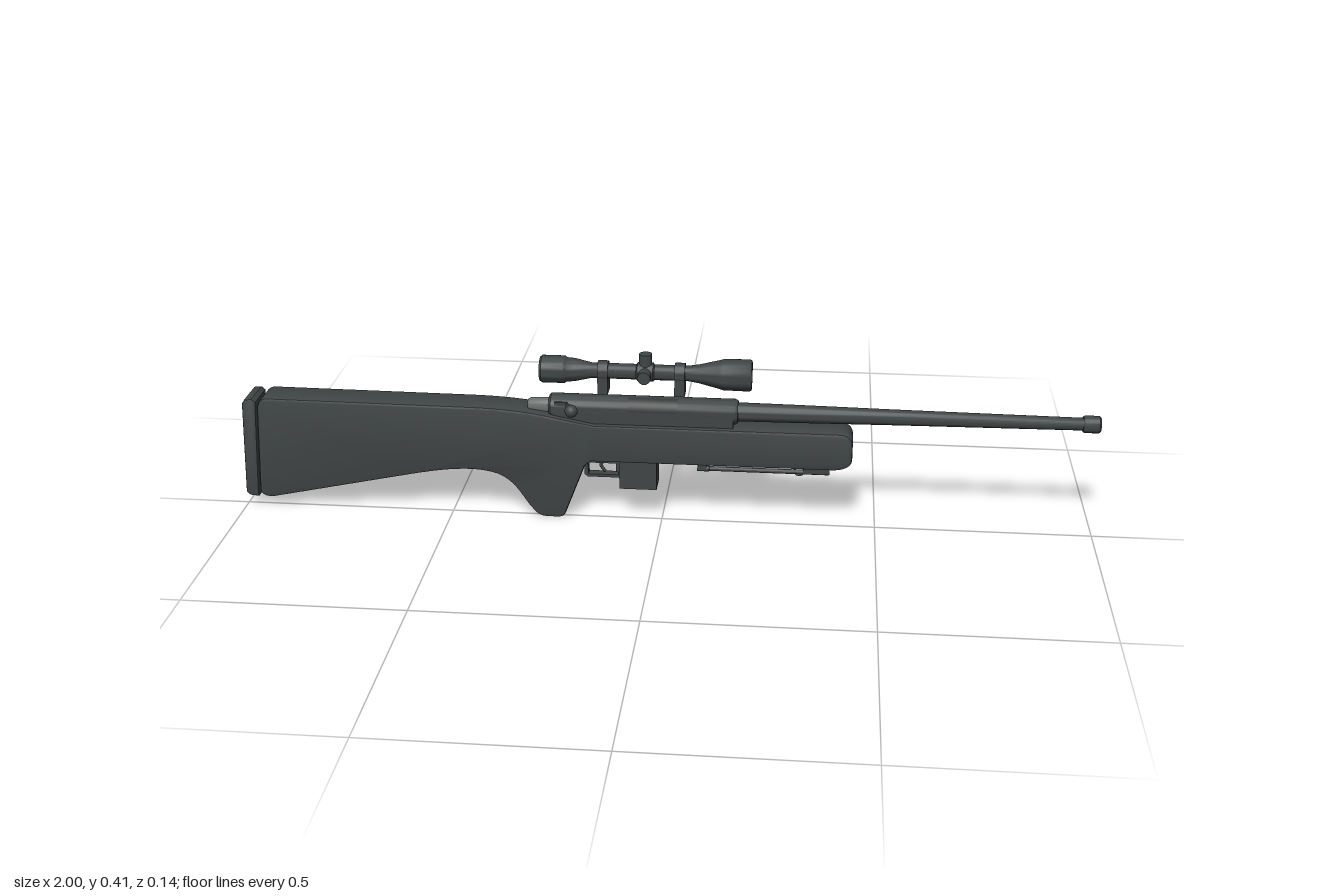
import * as THREE from 'three';
import { toCreasedNormals } from 'three/addons/utils/BufferGeometryUtils.js';

const ZC = -0.025; // centre plane of the stock and barrel

export function createModel() {
  const group = new THREE.Group();
  const material = (name, color) => {
    const m = new THREE.MeshStandardMaterial({ color });
    m.name = name;
    return m;
  };
  const body = material('darkGrey', 0x404545);
  const bare = material('bareSteel', 0x6c706f);
  const port = material('portShade', 0x343838);
  port.side = THREE.DoubleSide;

  const add = (name, geometry, x = 0, y = 0, z = ZC, mat = body) => {
    const mesh = new THREE.Mesh(geometry, mat);
    mesh.name = name;
    mesh.position.set(x, y, z);
    group.add(mesh);
    return mesh;
  };
  const box = (name, w, h, d, x, y, z = ZC) => add(name, new THREE.BoxGeometry(w, h, d), x, y, z);
  // Turned part along x from [x, radius] pairs
  const turned = (name, pairs, y, z = ZC, mat = body) => {
    const g = new THREE.LatheGeometry(pairs.map(([x, r]) => new THREE.Vector2(r, x)), 28);
    return add(name, toCreasedNormals(g.rotateZ(-Math.PI / 2), 0.6), 0, y, z, mat);
  };
  // Bevelled slab of a side outline, centred on ZC
  const slab = (name, shape, width, bevel) => {
    const g = new THREE.ExtrudeGeometry(shape, {
      depth: width - 2 * bevel, bevelEnabled: true, bevelThickness: bevel,
      bevelSize: bevel, bevelOffset: -bevel, bevelSegments: 2, curveSegments: 10,
    });
    return add(name, toCreasedNormals(g.translate(0, 0, -width / 2 + bevel), 0.5));
  };
  const rod = (name, points, r) => add(name, new THREE.TubeGeometry(
    new THREE.CatmullRomCurve3(points.map((p) => new THREE.Vector3(...p)), false, 'catmullrom', 0.1),
    24, r, 8), 0, 0, 0);

  // Stock, grip and fore-end in one outline
  const s = new THREE.Shape();
  s.moveTo(-0.965, 0.04);
  s.quadraticCurveTo(-0.963, 0.022, -0.935, 0.023);
  s.lineTo(-0.6, 0.095);
  s.bezierCurveTo(-0.52, 0.112, -0.44, 0.125, -0.385, 0.105);
  s.bezierCurveTo(-0.34, 0.085, -0.33, 0.045, -0.305, 0.018);
  s.quadraticCurveTo(-0.292, 0.0, -0.27, 0.0);
  s.lineTo(-0.245, 0.0);
  s.quadraticCurveTo(-0.23, 0.0, -0.225, 0.018);
  s.lineTo(-0.18, 0.135);
  s.lineTo(-0.165, 0.147);
  s.lineTo(0.4, 0.147);
  s.quadraticCurveTo(0.44, 0.15, 0.441, 0.175);
  s.lineTo(0.441, 0.215);
  s.quadraticCurveTo(0.437, 0.238, 0.41, 0.239);
  s.lineTo(-0.16, 0.239);
  s.lineTo(-0.26, 0.258);
  s.quadraticCurveTo(-0.34, 0.274, -0.45, 0.275);
  s.lineTo(-0.93, 0.278);
  s.quadraticCurveTo(-0.952, 0.276, -0.955, 0.25);
  s.closePath();
  slab('stock', s, 0.083, 0.006);

  // Butt pad
  const p = new THREE.Shape();
  p.moveTo(-0.999, 0.035);
  p.lineTo(-0.99, 0.026);
  p.lineTo(-0.969, 0.024);
  p.lineTo(-0.956, 0.268);
  p.lineTo(-0.965, 0.276);
  p.lineTo(-0.982, 0.274);
  p.lineTo(-0.99, 0.262);
  p.closePath();
  slab('buttPad', p, 0.087, 0.005);

  // Receiver, bolt and barrel
  turned('receiver', [[-0.265, 0], [-0.265, 0.026], [-0.26, 0.03], [0.168, 0.03], [0.175, 0.026], [0.175, 0]], 0.27);
  box('receiverBed', 0.42, 0.03, 0.058, -0.045, 0.25);
  turned('boltShroud', [[-0.316, 0], [-0.316, 0.013], [-0.31, 0.017], [-0.26, 0.019], [-0.26, 0]], 0.27, ZC, bare);
  turned('barrel', [[0.17, 0], [0.17, 0.022], [0.3, 0.021], [0.55, 0.018], [0.965, 0.0145], [0.965, 0]], 0.27);
  turned('muzzle', [[0.96, 0], [0.96, 0.018], [0.964, 0.02], [0.996, 0.02], [1.0, 0.017], [1.0, 0.008], [0.985, 0.008], [0.985, 0]], 0.27);

  // Ejection port wrapped on the upper front quarter of the receiver
  const portGeo = new THREE.CylinderGeometry(0.0306, 0.0306, 0.115, 10, 1, true, -1.35, 1.3);
  add('ejectionPort', portGeo.rotateZ(-Math.PI / 2), -0.022, 0.27, ZC, port);

  // Bolt handle
  rod('boltHandle', [[-0.225, 0.276, -0.01], [-0.21, 0.285, 0.02], [-0.203, 0.293, 0.055]], 0.006);
  add('boltKnob', new THREE.SphereGeometry(0.015, 18, 12), -0.203, 0.291, 0.058);
  box('boltCatch', 0.03, 0.008, 0.008, -0.235, 0.285, 0.0);

  // Scope body
  turned('scope', [[-0.285, 0], [-0.285, 0.028], [-0.28, 0.032], [-0.228, 0.032], [-0.222, 0.028],
    [-0.205, 0.027], [-0.165, 0.018], [0.06, 0.018], [0.085, 0.022], [0.13, 0.033],
    [0.14, 0.036], [0.2, 0.037], [0.205, 0.034], [0.205, 0.029], [0.198, 0.028], [0.198, 0]], 0.361);
  for (const x of [-0.138, 0.04]) {
    turned('scopeRing', [[x - 0.012, 0.017], [x - 0.012, 0.024], [x + 0.012, 0.024], [x + 0.012, 0.017]], 0.361);
    box('scopeMount', 0.024, 0.04, 0.042, x, 0.33);
  }
  // Adjustment turrets on top and on the side
  turned('turretBase', [[-0.062, 0.017], [-0.058, 0.022], [-0.022, 0.022], [-0.018, 0.017]], 0.361);
  const knob = () => toCreasedNormals(new THREE.CylinderGeometry(0.015, 0.015, 0.035, 18), 0.6);
  add('topTurret', knob(), -0.04, 0.388);
  add('sideTurret', knob().rotateX(Math.PI / 2), -0.04, 0.361, 0.002);

  // Magazine, trigger and guard
  box('magazine', 0.088, 0.075, 0.063, -0.056, 0.1145);
  box('magazineCatch', 0.012, 0.03, 0.02, -0.104, 0.125);
  const g = new THREE.Shape();
  g.moveTo(-0.185, 0.15);
  g.lineTo(-0.185, 0.103);
  g.lineTo(-0.178, 0.096);
  g.lineTo(-0.098, 0.096);
  g.lineTo(-0.098, 0.15);
  g.closePath();
  const gap = new THREE.Path();
  gap.moveTo(-0.177, 0.132);
  gap.lineTo(-0.104, 0.132);
  gap.lineTo(-0.104, 0.103);
  gap.lineTo(-0.175, 0.103);
  gap.closePath();
  g.holes.push(gap);
  add('triggerGuard', new THREE.ExtrudeGeometry(g, { depth: 0.022, bevelEnabled: false }), 0, 0, ZC - 0.011);
  rod('trigger', [[-0.14, 0.14, ZC], [-0.147, 0.122, ZC], [-0.137, 0.107, ZC]], 0.004);

  // Folded support legs under the fore-end
  box('legPlate', 0.06, 0.018, 0.06, 0.36, 0.141);
  box('legRest', 0.02, 0.014, 0.06, 0.095, 0.142);
  for (const side of [-1, 1]) {
    const z = ZC + side * 0.023;
    turned('foldedLeg', [[0.083, 0], [0.083, 0.007], [0.11, 0.007], [0.112, 0.0055], [0.388, 0.0055], [0.388, 0]], 0.134, z);
  }

  // Sling loops
  add('frontSlingLoop', new THREE.TorusGeometry(0.011, 0.003, 8, 18), 0.32, 0.127);
  add('rearSlingLoop', new THREE.TorusGeometry(0.012, 0.003, 8, 18).scale(1.2, 0.7, 1), -0.765, 0.057);

  return group;
}
